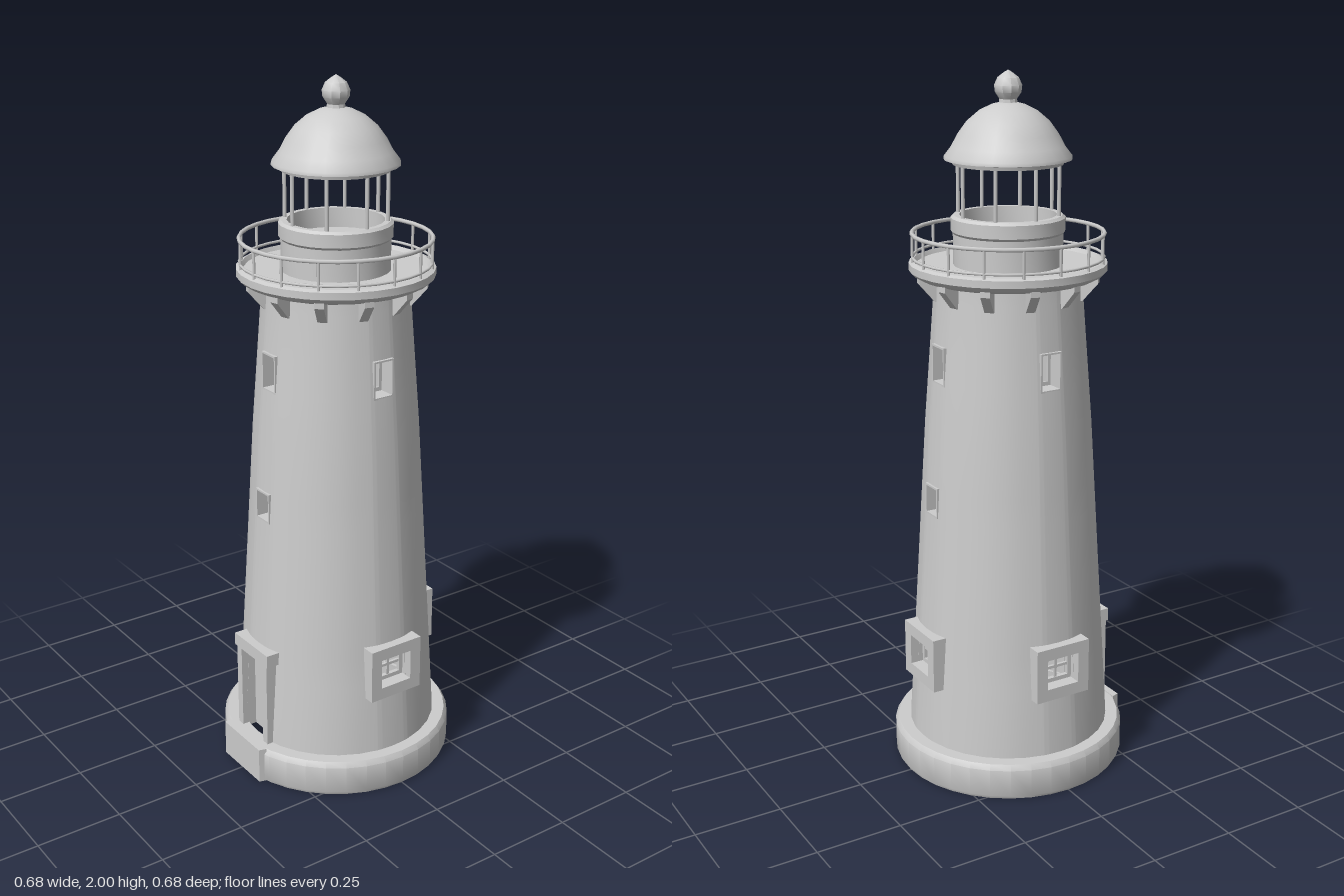
import * as THREE from 'three';
import { toCreasedNormals } from 'three/addons/utils/BufferGeometryUtils.js';

const stone = new THREE.MeshStandardMaterial({ color: 0xcccccc, side: THREE.DoubleSide });
stone.name = 'pale stone';

// Tower radius at height y, interpolated along its taper
const TAPER = [[0, 0.3], [0.1, 0.295], [0.58, 0.265], [1.03, 0.237], [1.4, 0.208], [1.5, 0.205]];
function towerRadius(y) {
  const i = Math.max(1, TAPER.findIndex(p => p[0] >= y));
  const [y0, r0] = TAPER[i - 1], [y1, r1] = TAPER[i];
  return r0 + (r1 - r0) * (y - y0) / (y1 - y0);
}

function add(parent, name, geometry, x = 0, y = 0, z = 0) {
  const mesh = new THREE.Mesh(geometry, stone);
  mesh.name = name;
  mesh.position.set(x, y, z);
  parent.add(mesh);
  return mesh;
}

function lathe(points, segments) {
  const g = new THREE.LatheGeometry(points.map(p => new THREE.Vector2(...p)), segments);
  return toCreasedNormals(g, 0.6);
}

// Rectangular frame with a hole; its front face is at z = 0
function frame(w, h, border, depth) {
  const rect = (C, a, b) => {
    const s = new C();
    s.moveTo(-a, -b); s.lineTo(a, -b); s.lineTo(a, b); s.lineTo(-a, b); s.closePath();
    return s;
  };
  const shape = rect(THREE.Shape, w / 2, h / 2);
  shape.holes.push(rect(THREE.Path, w / 2 - border, h / 2 - border));
  return new THREE.ExtrudeGeometry(shape, { depth, bevelEnabled: false }).translate(0, 0, -depth);
}

// Openings: side is quarter turns from the front, half is the half angle
const openings = [{ side: 0, half: 0.19, y0: 0.1, y1: 0.36 }];
for (let side = 0; side < 4; side++) {
  openings.push({ side, half: 0.14, y0: 1.165, y1: 1.27, type: 'slot' });
  if (side % 2 === 0) openings.push({ side, half: 0.125, y0: 0.785, y1: 0.87, type: 'slot' });
  if (side > 0) openings.push({ side, half: 0.18, y0: 0.315, y1: 0.405, type: 'framed' });
}

// Tapered wall: a grid of angles and heights, leaving out cells in openings
function towerWall() {
  const offsets = [-0.19, -0.18, -0.14, -0.125, 0, 0.125, 0.14, 0.18, 0.19, 0.38, 0.58, 0.785, 0.99, 1.19];
  const angles = [0, 1, 2, 3].flatMap(k => offsets.map(o => o + k * Math.PI / 2));
  const rows = [0.05, 0.1, 0.315, 0.36, 0.405, 0.58, 0.785, 0.87, 1.03, 1.165, 1.27, 1.4, 1.45];
  const n = angles.length, pos = [], index = [];
  for (const y of rows) {
    const r = towerRadius(y);
    for (const a of angles) pos.push(r * Math.sin(a), y, r * Math.cos(a));
  }
  for (let j = 0; j < rows.length - 1; j++) {
    const ym = (rows[j] + rows[j + 1]) / 2;
    for (let i = 0; i < n; i++) {
      const next = i + 1 < n ? angles[i + 1] : angles[0] + Math.PI * 2;
      const am = (angles[i] + next) / 2;
      const open = openings.some(o => Math.abs(am - o.side * Math.PI / 2) < o.half && ym > o.y0 && ym < o.y1);
      if (open) continue;
      const a = j * n + i, b = j * n + (i + 1) % n;
      index.push(a, b, b + n, a, b + n, a + n);
    }
  }
  const g = new THREE.BufferGeometry();
  g.setAttribute('position', new THREE.Float32BufferAttribute(pos, 3));
  g.setIndex(index);
  g.computeVertexNormals();
  return g;
}

export function createModel() {
  const model = new THREE.Group();
  model.name = 'lighthouse';

  // Open base ring and the front step
  add(model, 'baseRing', lathe([[0.285, 0.1], [0.29, 0], [0.335, 0], [0.34, 0.01], [0.34, 0.09],
    [0.33, 0.105], [0.285, 0.105]], 36));
  const stepShape = new THREE.Shape([[-0.1, -0.318], [0.1, -0.318], [0.094, -0.34], [-0.094, -0.34]]
    .map(p => new THREE.Vector2(...p)));
  add(model, 'frontStep', new THREE.ExtrudeGeometry(stepShape, { depth: 0.107, bevelEnabled: false })
    .rotateX(-Math.PI / 2));
  add(model, 'towerWall', towerWall());

  // Windows on each side
  for (const o of openings.filter(v => v.type)) {
    const window = new THREE.Group();
    window.name = o.type === 'slot' ? 'slotWindow' : 'framedWindow';
    window.rotation.y = o.side * Math.PI / 2;
    const y = (o.y0 + o.y1) / 2, h = o.y1 - o.y0, r = towerRadius(y);
    if (o.type === 'slot') {
      const w = 2 * r * Math.sin(o.half) + 0.004;
      add(window, 'reveal', frame(w, h + 0.004, 0.005, 0.05), 0, y, r + 0.003);
      add(window, 'innerFrame', frame(w, h, 0.014, 0.006), 0, y, r - 0.045);
    } else {
      add(window, 'surround', frame(0.172, 0.16, 0.035, 0.06), 0, y, 0.3);
      add(window, 'innerFrame', frame(0.11, 0.098, 0.016, 0.012), 0, y, 0.262);
      add(window, 'mullion', new THREE.BoxGeometry(0.008, 0.08, 0.008), 0, y, 0.256);
      add(window, 'transom', new THREE.BoxGeometry(0.09, 0.008, 0.008), 0, y, 0.256);
    }
    model.add(window);
  }

  // Recessed door with jambs and lintel
  const door = new THREE.Group();
  door.name = 'door';
  add(door, 'doorPanel', new THREE.BoxGeometry(0.12, 0.28, 0.01), 0, 0.235, 0.25);
  for (const s of [-1, 1])
    add(door, 'jamb', new THREE.BoxGeometry(0.024, 0.28, 0.06), s * 0.067, 0.235, 0.27);
  add(door, 'lintel', new THREE.BoxGeometry(0.174, 0.038, 0.062), 0, 0.382, 0.271);
  model.add(door);

  // Gallery deck on wedge-shaped corbels
  add(model, 'galleryDeck', lathe([[0, 1.445], [0.245, 1.445], [0.265, 1.455], [0.275, 1.465],
    [0.275, 1.485], [0.262, 1.49], [0.255, 1.478], [0, 1.478]], 28));
  const wedge = new THREE.Shape([[0.19, 1.385], [0.212, 1.385], [0.255, 1.435], [0.255, 1.452], [0.19, 1.452]]
    .map(p => new THREE.Vector2(...p)));
  const corbel = new THREE.ExtrudeGeometry(wedge, { depth: 0.026, bevelEnabled: false }).translate(0, 0, -0.013);
  for (let i = 0; i < 12; i++)
    add(model, 'corbel', corbel).rotation.y = (i + 0.5) * Math.PI / 6;

  // Gallery railing
  const railing = new THREE.Group();
  railing.name = 'railing';
  const post = new THREE.CylinderGeometry(0.0045, 0.0045, 0.085, 6);
  for (let i = 0; i < 16; i++) {
    const a = i * Math.PI / 8;
    add(railing, 'railPost', post, 0.265 * Math.sin(a), 1.525, 0.265 * Math.cos(a));
  }
  for (const [y, t] of [[1.565, 0.006], [1.5, 0.004]])
    add(railing, 'rail', new THREE.TorusGeometry(0.265, t, 6, 32).rotateX(Math.PI / 2), 0, y, 0);
  model.add(railing);

  // Lantern room: drum, posts and domed roof
  add(model, 'lanternDrum', lathe([[0.152, 1.475], [0.152, 1.565], [0.158, 1.572], [0.158, 1.608],
    [0.15, 1.615], [0.134, 1.615], [0.134, 1.56], [0, 1.56]], 24));
  const lanternPost = new THREE.CylinderGeometry(0.006, 0.006, 0.16, 6);
  for (let i = 0; i < 8; i++) {
    const a = i * Math.PI / 4;
    add(model, 'lanternPost', lanternPost, 0.142 * Math.sin(a), 1.685, 0.142 * Math.cos(a));
  }
  add(model, 'domeRoof', lathe([[0, 1.768], [0.13, 1.768], [0.132, 1.752], [0.152, 1.752], [0.155, 1.762],
    [0.175, 1.765], [0.174, 1.774], [0.154, 1.8], [0.137, 1.832], [0.112, 1.866], [0.08, 1.893],
    [0.045, 1.91], [0.02, 1.916], [0, 1.917]], 24));
  add(model, 'finial', lathe([[0.026, 1.908], [0.024, 1.924], [0.036, 1.942], [0.038, 1.96],
    [0.029, 1.98], [0.012, 1.993], [0, 2]], 10));

  return model;
}
